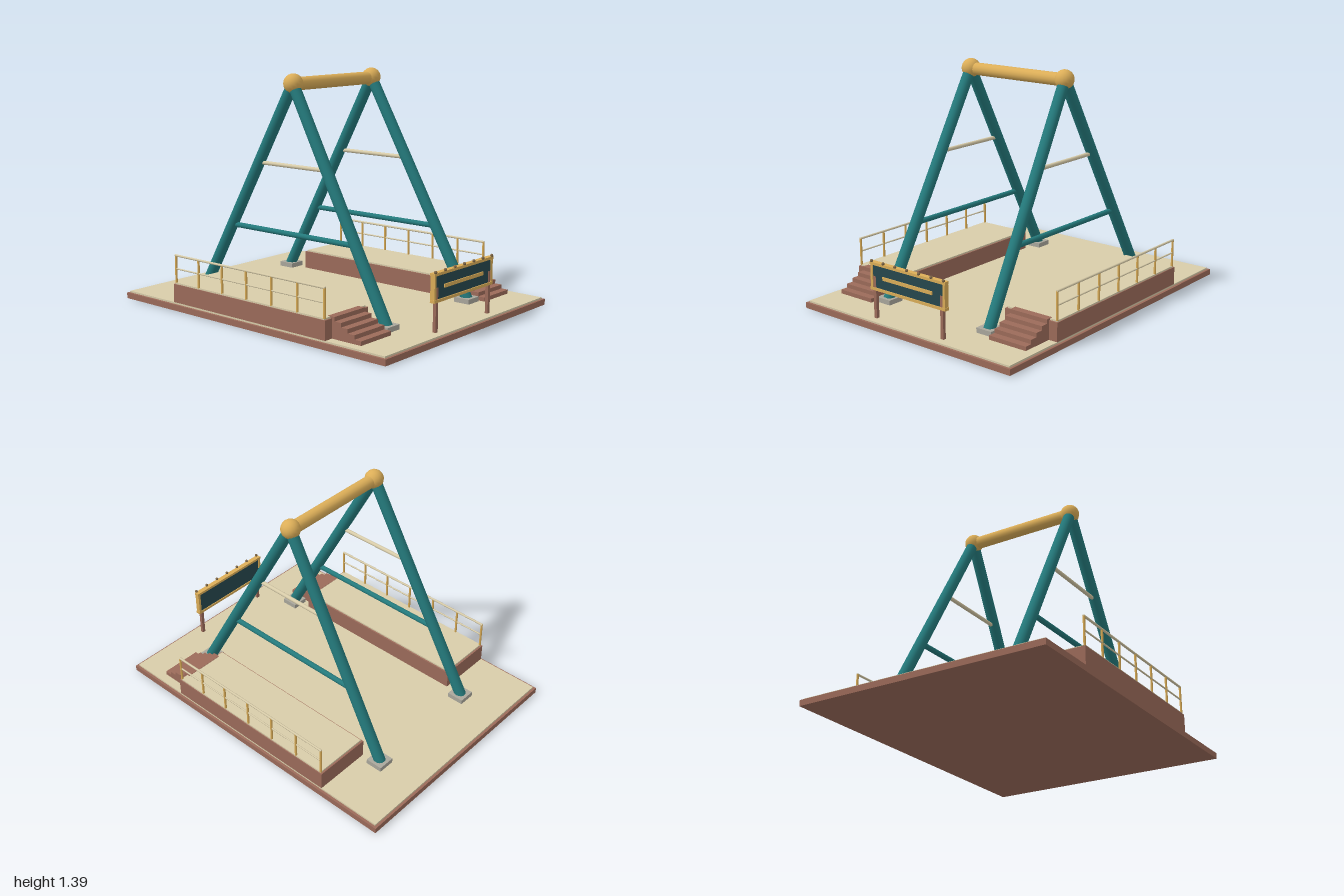
import * as THREE from 'three';

const mat = (color) => new THREE.MeshStandardMaterial({ color });
const BRICK = mat(0x9c6b5a), SAND = mat(0xd8cca9), TEAL = mat(0x247a7c), GOLD = mat(0xdcae58);
const CREAM = mat(0xd8cca9), STONE = mat(0xaaa79c), BOARD = mat(0x26484e), BULB = mat(0x80694a);

// Box given by its min and max corners
function box(parent, name, m, [x0, y0, z0], [x1, y1, z1]) {
  const mesh = new THREE.Mesh(new THREE.BoxGeometry(x1 - x0, y1 - y0, z1 - z0), m);
  mesh.position.set((x0 + x1) / 2, (y0 + y1) / 2, (z0 + z1) / 2);
  mesh.name = name;
  parent.add(mesh);
}

// Round bar between two points
function bar(parent, name, m, a, b, r, sides = 16) {
  const A = new THREE.Vector3(...a), B = new THREE.Vector3(...b);
  const dir = B.clone().sub(A);
  const mesh = new THREE.Mesh(new THREE.CylinderGeometry(r, r, dir.length(), sides), m);
  mesh.position.copy(A).add(B).multiplyScalar(0.5);
  mesh.quaternion.setFromUnitVectors(new THREE.Vector3(0, 1, 0), dir.normalize());
  mesh.name = name;
  parent.add(mesh);
}

function ball(parent, name, m, p, r, w = 16, h = 12) {
  const mesh = new THREE.Mesh(new THREE.SphereGeometry(r, w, h), m);
  mesh.position.set(...p);
  mesh.name = name;
  parent.add(mesh);
}

function group(parent, name) {
  const g = new THREE.Group();
  g.name = name;
  parent.add(g);
  return g;
}

const GROUND = 0.045, APEX = 1.33;

// Two leaning legs with feet, cross braces and a hub
function buildFrame(parent, s) {
  const g = group(parent, s > 0 ? 'leftFrame' : 'rightFrame');
  const legAt = (y) => {
    const t = (APEX - y) / (APEX - 0.06);
    return [s * (0.35 + 0.03 * t), 0.705 * t];
  };
  for (const d of [1, -1]) {
    bar(g, 'leg', TEAL, [s * 0.35, APEX, 0], [s * 0.38, 0.06, d * 0.705], 0.034);
    box(g, 'footPad', STONE, [s * 0.38 - 0.052, GROUND, d * 0.7 - 0.052], [s * 0.38 + 0.052, 0.074, d * 0.7 + 0.052]);
  }
  for (const [y, r, m, name] of [[0.47, 0.016, TEAL, 'lowerBrace'], [0.862, 0.012, CREAM, 'upperBrace']]) {
    const [x, z] = legAt(y);
    bar(g, name, m, [x, y, -z], [x, y, z], r, 12);
  }
  ball(g, 'hub', GOLD, [s * 0.347, APEX, 0], 0.057);
}

// Raised deck with outer railing and front steps
function buildPlatform(parent, s) {
  const g = group(parent, s > 0 ? 'leftPlatform' : 'rightPlatform');
  const span = (name, m, xa, xb, y0, y1, z0, z1) =>
    box(g, name, m, [Math.min(s * xa, s * xb), y0, z0], [Math.max(s * xa, s * xb), y1, z1]);
  span('platformBase', BRICK, 0.395, 0.75, GROUND, 0.154, -0.588, 0.588);
  span('deck', SAND, 0.405, 0.744, 0.154, 0.163, -0.577, 0.577);

  const steps = 5, rise = (0.165 - GROUND) / steps, run = 0.045;
  for (let i = 0; i < steps; i++) {
    const z = 0.785 - i * run;
    span('step', BRICK, 0.445, 0.695, GROUND, GROUND + rise * (i + 1), i === steps - 1 ? 0.56 : z - run, z);
  }

  const x = s * 0.739, L = 0.575;
  for (let i = 0; i < 7; i++) {
    const z = -L + (i * 2 * L) / 6;
    bar(g, 'railPost', GOLD, [x, 0.16, z], [x, 0.325, z], 0.007, 8);
  }
  bar(g, 'topRail', CREAM, [x, 0.325, -L - 0.005], [x, 0.325, L + 0.005], 0.007, 8);
  bar(g, 'midRail', CREAM, [x, 0.246, -L], [x, 0.246, L], 0.005, 8);
}

// Framed board on two posts with a row of bulbs
function buildSign(parent) {
  const g = group(parent, 'signBoard');
  box(g, 'panel', BOARD, [-0.265, 0.218, 0.919], [0.265, 0.362, 0.938]);
  for (const s of [1, -1]) {
    box(g, 'signPost', BRICK, [s * 0.25 - 0.01, GROUND, 0.921], [s * 0.25 + 0.01, 0.29, 0.94]);
    box(g, 'frameSide', GOLD, [s * 0.269 - 0.008, 0.212, 0.914], [s * 0.269 + 0.008, 0.367, 0.943]);
  }
  for (const y of [0.218, 0.364])
    box(g, 'frameRail', GOLD, [-0.28, y - 0.008, 0.914], [0.28, y + 0.008, 0.944]);
  box(g, 'centreStrip', GOLD, [-0.185, 0.28, 0.937], [0.185, 0.3, 0.944]);
  for (let i = -3; i <= 3; i++) ball(g, 'bulb', BULB, [i * 0.0893, 0.378, 0.941], 0.009, 10, 8);
}

export function createModel() {
  const model = new THREE.Group();
  model.name = 'swingRideStand';

  // Ground slab
  box(model, 'baseSlab', BRICK, [-0.765, 0, -1], [0.765, 0.035, 1]);
  box(model, 'groundSurface', SAND, [-0.75, 0.035, -0.985], [0.75, GROUND, 0.985]);

  for (const s of [1, -1]) {
    buildFrame(model, s);
    buildPlatform(model, s);
  }
  bar(model, 'topBeam', GOLD, [-0.347, APEX - 0.003, 0], [0.347, APEX - 0.003, 0], 0.038);
  buildSign(model);
  return model;
}
